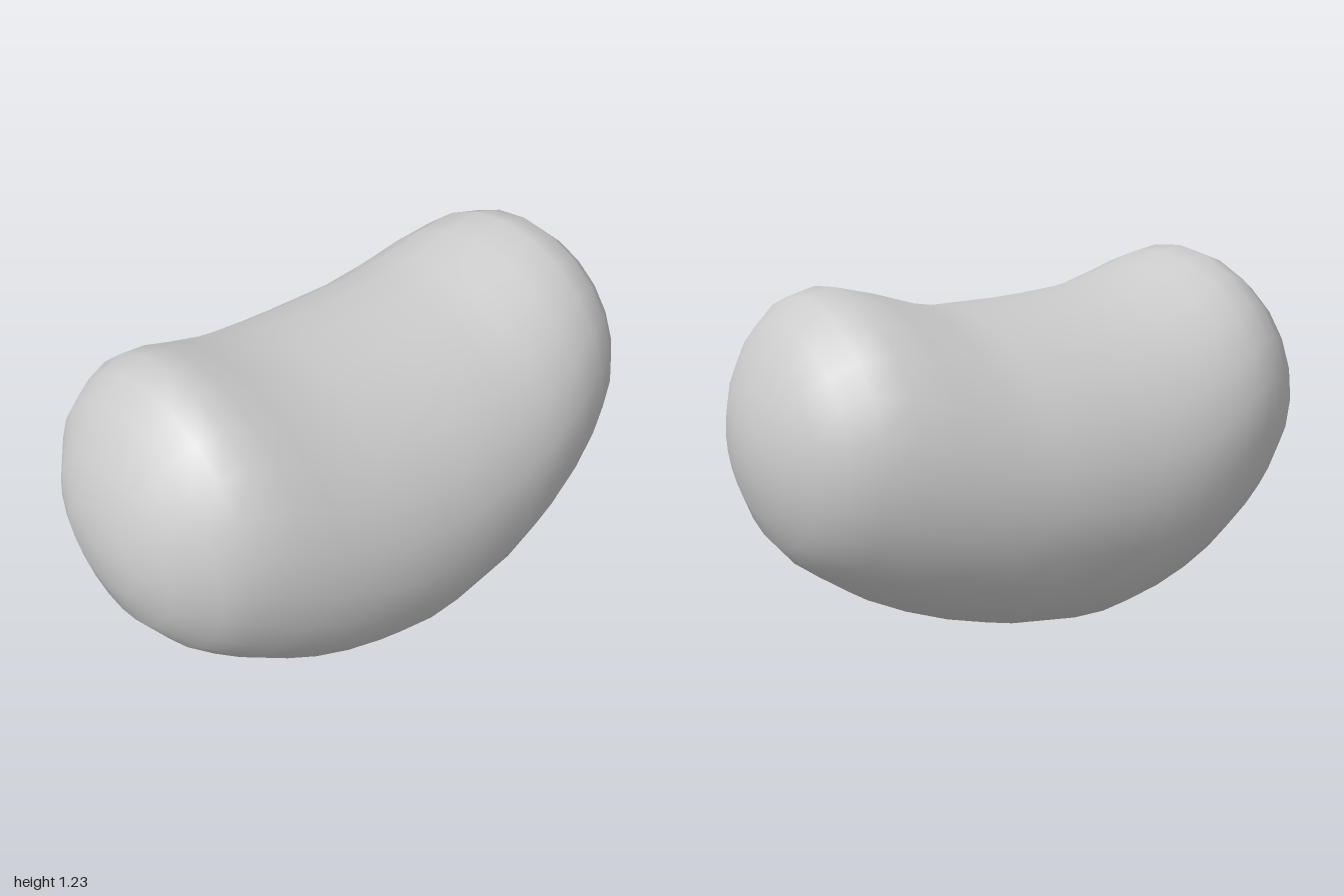
import * as THREE from 'three';

// Cross-sections along the bean: x, top y, bottom y, half depth in z
const SECTIONS = [
  [-0.985, 0.86, 0.58, 0.17],
  [-0.94, 0.99, 0.44, 0.29],
  [-0.85, 1.13, 0.32, 0.42],
  [-0.77, 1.19, 0.25, 0.475],
  [-0.69, 1.22, 0.19, 0.515],
  [-0.6, 1.205, 0.14, 0.55],
  [-0.5, 1.17, 0.095, 0.577],
  [-0.38, 1.135, 0.055, 0.6],
  [-0.25, 1.115, 0.022, 0.615],
  [-0.12, 1.108, 0, 0.62],
  [0, 1.105, 0.008, 0.618],
  [0.25, 1.11, 0.055, 0.602],
  [0.4, 1.14, 0.105, 0.58],
  [0.55, 1.19, 0.17, 0.545],
  [0.68, 1.225, 0.24, 0.5],
  [0.78, 1.205, 0.315, 0.45],
  [0.86, 1.14, 0.38, 0.385],
  [0.92, 1.06, 0.455, 0.305],
  [0.965, 0.96, 0.56, 0.215],
  [0.99, 0.87, 0.66, 0.11],
];
const SIDES = 24;

// Joins elliptical rings into one closed skin with a point at each end
function loft(sections, startTip, endTip) {
  const positions = [];
  const index = [];
  for (const [x, top, bottom, depth] of sections) {
    for (let j = 0; j < SIDES; j++) {
      const a = (j / SIDES) * Math.PI * 2;
      positions.push(x, (top + bottom) / 2 + ((top - bottom) / 2) * Math.cos(a), depth * Math.sin(a));
    }
  }
  const start = sections.length * SIDES;
  const end = start + 1;
  positions.push(...startTip, ...endTip);

  const last = (sections.length - 1) * SIDES;
  for (let j = 0; j < SIDES; j++) {
    const k = (j + 1) % SIDES;
    for (let r = 0; r < last; r += SIDES) {
      index.push(r + j, r + k, r + SIDES + j, r + k, r + SIDES + k, r + SIDES + j);
    }
    index.push(start, k, j, end, last + j, last + k);
  }

  const geometry = new THREE.BufferGeometry();
  geometry.setAttribute('position', new THREE.Float32BufferAttribute(positions, 3));
  geometry.setIndex(index);
  geometry.computeVertexNormals();
  return geometry;
}

export function createModel() {
  const group = new THREE.Group();
  group.name = 'bean';
  const body = new THREE.Mesh(
    loft(SECTIONS, [-1, 0.72, 0], [1, 0.76, 0]),
    new THREE.MeshStandardMaterial({ color: 0xcccccc })
  );
  body.name = 'beanBody';
  group.add(body);
  return group;
}
